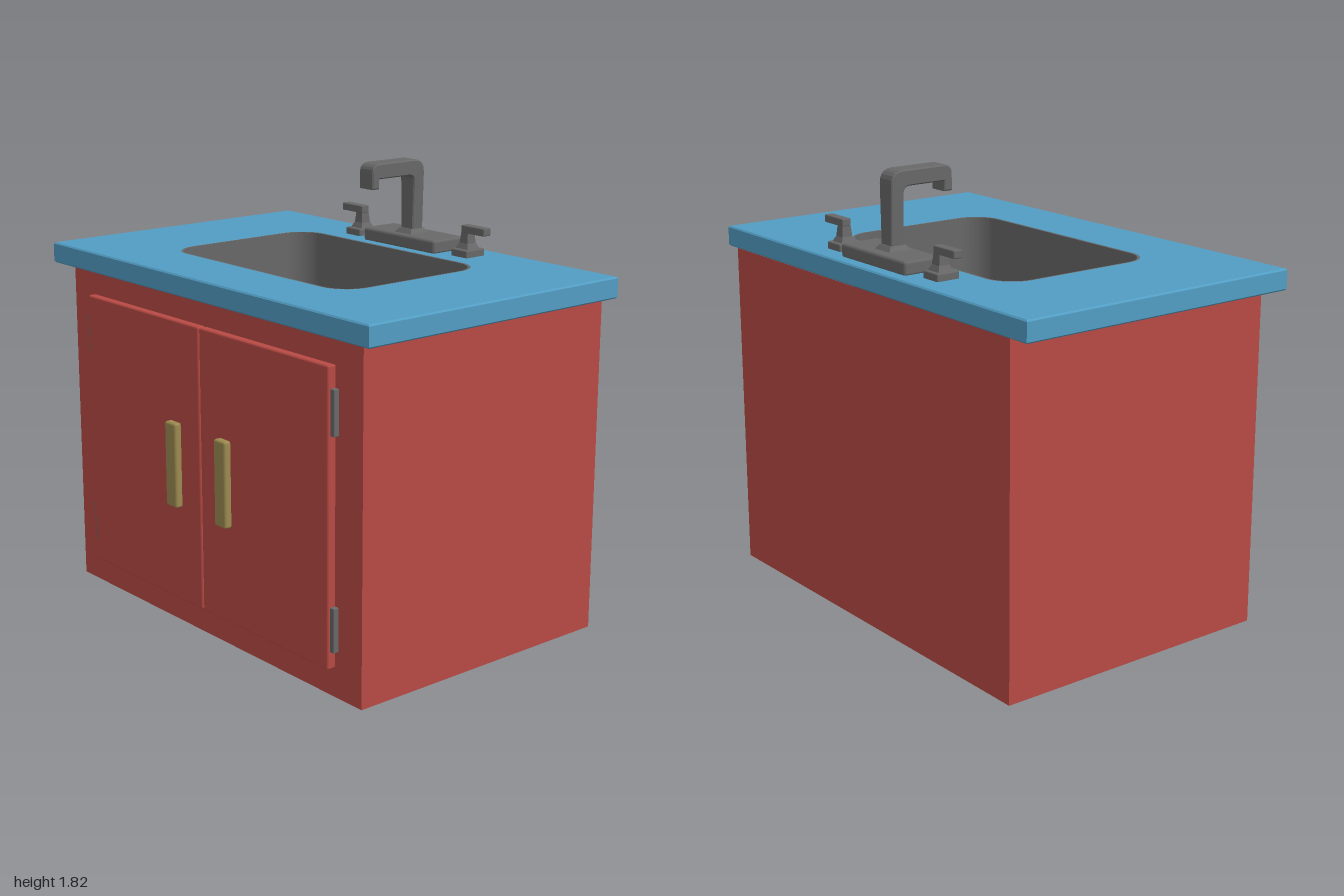
import * as THREE from 'three';
import { RoundedBoxGeometry } from 'three/addons/geometries/RoundedBoxGeometry.js';

const mat = (color) => new THREE.MeshStandardMaterial({ color });
const red = mat(0xb84a44), blue = mat(0x529dc4), grey = mat(0x686868), brass = mat(0x9c8a50);

// Rounded rectangle outline, used for the sink
function roundedRect(Type, x0, x1, y0, y1, r) {
  const s = new Type();
  s.moveTo(x0 + r, y0);
  s.lineTo(x1 - r, y0).absarc(x1 - r, y0 + r, r, -Math.PI / 2, 0);
  s.lineTo(x1, y1 - r).absarc(x1 - r, y1 - r, r, 0, Math.PI / 2);
  s.lineTo(x0 + r, y1).absarc(x0 + r, y1 - r, r, Math.PI / 2, Math.PI);
  s.lineTo(x0, y0 + r).absarc(x0 + r, y0 + r, r, Math.PI, Math.PI * 1.5);
  return s;
}

export function createModel() {
  const group = new THREE.Group();
  const add = (name, geometry, material) => {
    const mesh = new THREE.Mesh(geometry, material);
    mesh.name = name;
    group.add(mesh);
    return mesh;
  };
  // Soft-edged box given by its extents
  const block = (name, material, x, y, z, r = 0.006) => {
    const g = new RoundedBoxGeometry(x[1] - x[0], y[1] - y[0], z[1] - z[0], 1, r);
    g.translate((x[0] + x[1]) / 2, (y[0] + y[1]) / 2, (z[0] + z[1]) / 2);
    return add(name, g, material);
  };
  // Extrude a plan outline (x, -z) upward from y0 to y1
  const slab = (name, material, shape, y0, y1, bevel = 0) => {
    const g = new THREE.ExtrudeGeometry(shape, {
      depth: y1 - y0 - 2 * bevel, curveSegments: 10, bevelEnabled: bevel > 0,
      bevelSize: bevel, bevelThickness: bevel, bevelOffset: -bevel, bevelSegments: 1,
    });
    g.rotateX(-Math.PI / 2).translate(0, y0 + bevel, 0);
    return add(name, g, material);
  };
  // Frustum with a square section
  const taper = (name, material, bottom, top, y0, y1, x, z) => {
    const g = new THREE.CylinderGeometry(top * Math.SQRT1_2, bottom * Math.SQRT1_2, y1 - y0, 4).toNonIndexed();
    g.rotateY(Math.PI / 4).translate(x, (y0 + y1) / 2, z);
    g.computeVertexNormals();
    return add(name, g, material);
  };

  // Cabinet body: box with its top face left out, so the basin can hang inside
  const body = new THREE.BoxGeometry(1.835, 1.38, 1.222);
  const index = Array.from(body.index.array);
  body.setIndex([...index.slice(0, 12), ...index.slice(18)]);
  body.clearGroups();
  body.translate(0, 0.69, -0.033);
  add('cabinetBody', body, red);

  // Countertop with the sink opening
  const top = new THREE.Shape();
  top.moveTo(-1, -0.628).lineTo(1, -0.628).lineTo(1, 0.638).lineTo(-1, 0.638).closePath();
  top.holes.push(roundedRect(THREE.Path, -0.55, 0.535, -0.345, 0.37, 0.12));
  slab('countertop', blue, top, 1.375, 1.46, 0.006);

  // Basin: thin rounded wall and a floor
  const wall = roundedRect(THREE.Shape, -0.556, 0.541, -0.351, 0.376, 0.126);
  wall.holes.push(roundedRect(THREE.Path, -0.545, 0.53, -0.34, 0.365, 0.115));
  slab('basinWall', grey, wall, 1.14, 1.459);
  slab('basinFloor', grey, roundedRect(THREE.Shape, -0.55, 0.535, -0.345, 0.37, 0.12), 1.13, 1.15);

  // Mirrored parts
  for (const [side, s] of [['left', 1], ['right', -1]]) {
    const span = (a, b) => (s > 0 ? [a, b] : [-b, -a]);
    block(side + 'Door', red, span(0.003, 0.77), [0.115, 1.27], [0.575, 0.615], 0.008);
    block(side + 'DoorHandle', brass, span(0.125, 0.197), [0.512, 0.862], [0.608, 0.645], 0.01);
    for (const [place, y] of [['Lower', 0.185], ['Upper', 1.01]]) {
      block(side + place + 'Hinge', grey, span(0.755, 0.79), [y, y + 0.175], [0.578, 0.603], 0.003);
    }
    // Tap: foot, collar, stem and lever
    block(side + 'TapFoot', grey, span(0.28, 0.37), [1.455, 1.49], [-0.55, -0.448]);
    taper(side + 'TapCollar', grey, 0.07, 0.046, 1.488, 1.512, s * 0.322, -0.5);
    taper(side + 'TapStem', grey, 0.046, 0.036, 1.51, 1.56, s * 0.322, -0.5);
    block(side + 'TapLever', grey, span(0.302, 0.432), [1.552, 1.584], [-0.52, -0.48], 0.005);
  }

  // Faucet plate and flared foot
  block('faucetPlate', grey, [-0.215, 0.215], [1.455, 1.513], [-0.587, -0.413], 0.012);
  taper('faucetFoot', grey, 0.105, 0.07, 1.51, 1.532, 0, -0.49);

  // Spout: hooked side profile (z, y) extruded across x
  const p = new THREE.Shape();
  p.moveTo(-0.52, 1.505).lineTo(-0.462, 1.505).lineTo(-0.462, 1.73);
  p.quadraticCurveTo(-0.462, 1.757, -0.487 + 0.055, 1.757);
  p.lineTo(-0.273, 1.757).lineTo(-0.273, 1.717).lineTo(-0.235, 1.717).lineTo(-0.235, 1.785);
  p.quadraticCurveTo(-0.237, 1.82, -0.275, 1.82);
  p.lineTo(-0.465, 1.82).quadraticCurveTo(-0.52, 1.82, -0.52, 1.765).closePath();
  const spout = new THREE.ExtrudeGeometry(p, {
    depth: 0.074, curveSegments: 5, bevelSize: 0.005, bevelThickness: 0.005,
    bevelOffset: -0.005, bevelSegments: 1,
  });
  spout.translate(0, 0, -0.037).rotateY(-Math.PI / 2);
  // Narrow the post toward its foot
  const pos = spout.attributes.position;
  for (let i = 0; i < pos.count; i++) {
    if (pos.getY(i) < 1.6) pos.setX(i, pos.getX(i) * 0.82);
  }
  spout.computeVertexNormals();
  add('faucetSpout', spout, grey);

  return group;
}
